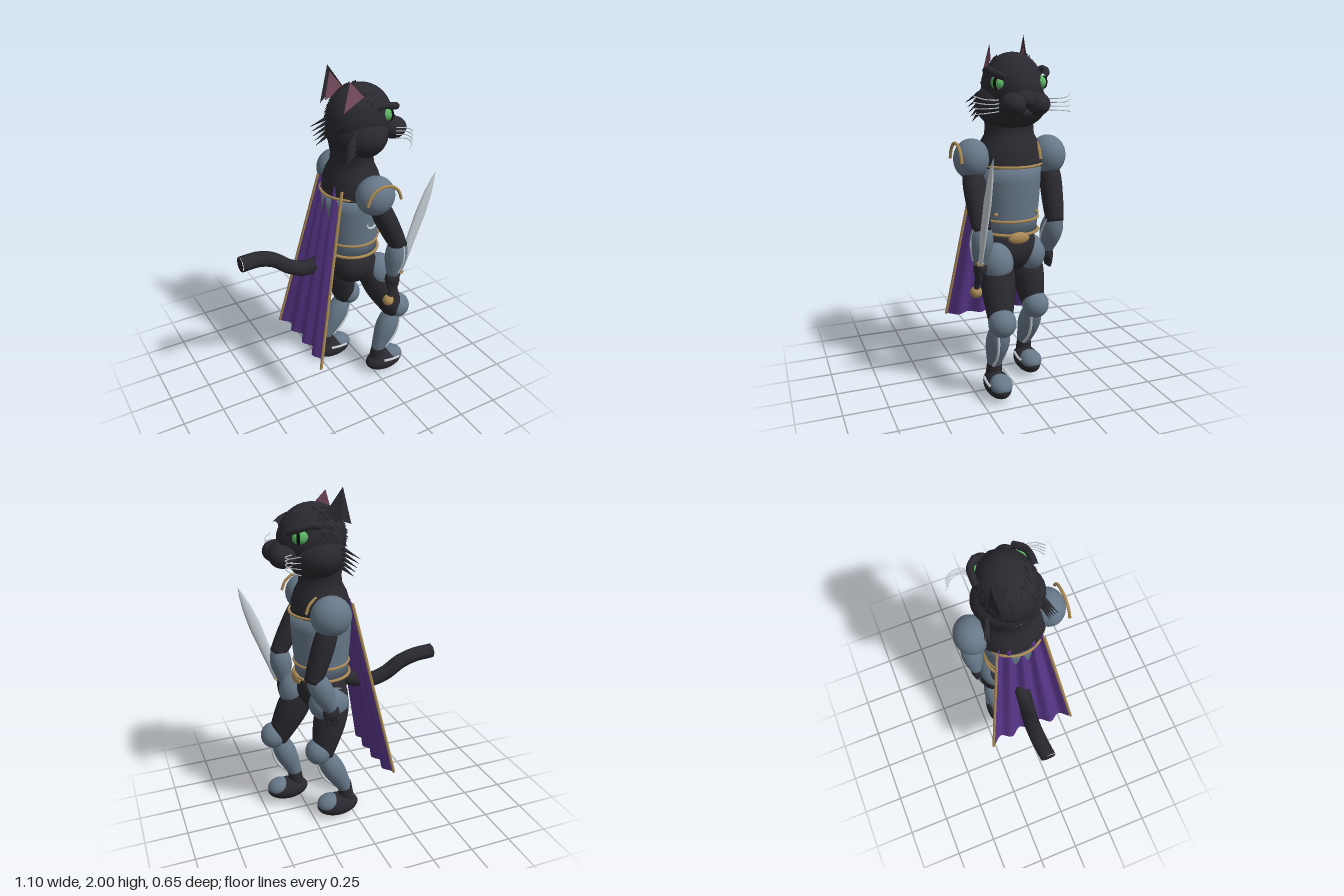
import * as THREE from 'three';
import { mergeGeometries } from 'three/addons/utils/BufferGeometryUtils.js';

const V = (x, y, z) => new THREE.Vector3(x, y, z);
const mat = (name, color, side = THREE.FrontSide) => {
  const m = new THREE.MeshStandardMaterial({ color, side });
  m.name = name;
  return m;
};

export function createModel() {
  const fur = mat('black fur', 0x29292f), steel = mat('slate armour', 0x677889), gold = mat('gold trim', 0xaa8a55);
  const silver = mat('silver', 0xc4ccd2), green = mat('green eye', 0x5cb565), pupilMat = mat('pupil black', 0x0c0c0e);
  const purple = mat('purple cloth', 0x573587, THREE.DoubleSide);
  const pink = mat('inner ear pink', 0x764c5c, THREE.DoubleSide);
  const earMat = mat('ear black', 0x29292f, THREE.DoubleSide);
  const root = new THREE.Group();

  const add = (name, geo, material, parent = root) => {
    const m = new THREE.Mesh(geo, material);
    m.name = name;
    parent.add(m);
    return m;
  };
  const ball = (name, material, p, r, rotZ = 0, rotY = 0) => {
    const m = add(name, new THREE.SphereGeometry(1, 32, 22), material);
    m.position.set(...p);
    m.scale.set(...r);
    m.rotation.set(0, rotY, rotZ);
  };
  const tube = (name, material, pts, r, closed = false) =>
    add(name, new THREE.TubeGeometry(new THREE.CatmullRomCurve3(pts.map(p => V(...p)), closed), 40, r, 8, closed), material);
  // Round limb between two points; radii are spread evenly along it
  const limb = (name, material, a, b, radii) => {
    const A = V(...a), d = V(...b).sub(A), len = d.length(), n = radii.length - 1;
    const curve = new THREE.SplineCurve(radii.map((r, i) => new THREE.Vector2(r, len * i / n)));
    const prof = [new THREE.Vector2(0, 0), ...curve.getPoints(14), new THREE.Vector2(0, len)];
    const m = add(name, new THREE.LatheGeometry(prof, 24), material);
    m.position.copy(A);
    m.quaternion.setFromUnitVectors(V(0, 1, 0), d.normalize());
  };
  // Upright oval section from [radius, height] pairs
  const lathe = (name, material, prof, zScale, parent = root) => {
    const m = add(name, new THREE.LatheGeometry(prof.map(p => new THREE.Vector2(...p)), 40), material, parent);
    m.scale.z = zScale;
    return m;
  };
  const ring = (name, y, rx, rz, r) => {
    const pts = [];
    for (let i = 0; i < 16; i++) pts.push([0.14 + rx * Math.cos(i * Math.PI / 8), y, rz * Math.sin(i * Math.PI / 8)]);
    tube(name, gold, pts, r, true);
  };

  // Torso, armour and belt
  ball('pelvis', fur, [0.14, 0.83, 0], [0.145, 0.145, 0.16]);
  lathe('breastplate', steel, [[0, 0.92], [0.153, 0.92], [0.156, 1], [0.165, 1.1], [0.172, 1.22], [0.173, 1.31], [0, 1.32]], 1.04)
    .position.x = 0.14;
  lathe('chestAndNeck', fur, [[0.168, 1.3], [0.163, 1.36], [0.145, 1.42], [0.12, 1.47], [0.116, 1.52], [0.13, 1.6]], 1.17)
    .position.x = 0.14;
  ring('collarTrim', 1.31, 0.178, 0.181, 0.008);
  ring('waistTrim', 1.005, 0.158, 0.165, 0.008);
  ring('belt', 0.93, 0.163, 0.165, 0.009);
  ball('buckle', gold, [0.295, 0.912, 0], [0.022, 0.034, 0.062]);
  tube('chestCrescent', silver, [[0.14, 1.145, 0.176], [0.155, 1.118, 0.174], [0.19, 1.11, 0.168], [0.23, 1.13, 0.152]], 0.007);

  // Tail
  const tail = tube('tail', fur, [[0.03, 0.88, 0], [-0.07, 0.845, -0.02], [-0.16, 0.832, -0.03], [-0.25, 0.865, -0.045],
    [-0.34, 0.93, -0.058], [-0.43, 0.96, -0.06], [-0.55, 0.965, -0.05]], 0.046);
  tail.geometry = mergeGeometries([tail.geometry, new THREE.CircleGeometry(0.046, 8).rotateY(-Math.PI / 2).translate(-0.55, 0.965, -0.05)]);

  // Folded cape, spreading toward the hem
  const capePoint = (u, v) => [
    0.008 - 0.186 * v - 0.02 * (0.75 + 0.25 * v) * Math.cos(u * Math.PI * 4) + 0.02 * (u * u - 0.6) * (1 - v) - 0.018 * u * u * v,
    1.37 - 1.06 * v, u * (0.135 + 0.145 * v)];
  const cape = new THREE.PlaneGeometry(2, 1, 64, 14), cp = cape.attributes.position;
  for (let i = 0; i < cp.count; i++) cp.setXYZ(i, ...capePoint(cp.getX(i), 0.5 - cp.getY(i)));
  cape.computeVertexNormals();
  add('cape', cape, purple);

  // Paired limbs and armour; the left leg strides ahead, the right arm hangs back
  for (const s of [1, -1]) {
    const left = s > 0, side = left ? 'left' : 'right', z = 0.14 * s, a = 0.228 * s;
    const k = left ? 0.41 : 0.215, f = left ? 0.33 : 0.095;
    tube(side + 'CapeTrim', gold, [0, 0.5, 1].map(v => capePoint(s, v)), 0.009);

    limb(side + 'Thigh', fur, [left ? 0.19 : 0.08, 0.86, 0.1 * s], [k - 0.025, 0.45, z], [0.06, 0.092, 0.096, 0.082, 0.062]);
    ball(side + 'ThighPlate', steel, [left ? 0.268 : 0.14, 0.775, 0.122 * s], [left ? 0.095 : 0.12, 0.112, 0.094], 0.2);
    ball(side + 'KneeGuard', steel, [k, 0.475, z], [0.077, 0.08, 0.078]);
    limb(side + 'Greave', steel, [k - 0.03, 0.45, z], [f - 0.055, 0.175, z], [0.045, 0.064, 0.066, 0.054, 0.04]);
    limb(side + 'Ankle', fur, [f - 0.045, 0.22, z], [f - 0.06, 0.08, z], [0.04, 0.045, 0.05]);
    // Ridge follows the front of the greave
    const ridge = [0.042, 0.07, 0.07, 0.042].map((o, i) => {
      const t = 0.1 + i * 0.27;
      return [k - 0.03 + (f - k - 0.025) * t + o, 0.45 - 0.275 * t - o * 0.35, z + 0.022];
    });
    tube(side + 'GreaveRidge', silver, ridge, 0.008);
    ball(side + 'Foot', fur, [f, 0.073, z], [0.13, 0.07, 0.073]);
    ball(side + 'ToeCap', steel, [f + 0.06, 0.098, z], [0.07, 0.05, 0.064], -0.25);
    tube(side + 'FootTrim', silver, [[f - 0.04, 0.108, z + 0.066], [f + 0.02, 0.103, z + 0.07], [f + 0.075, 0.1, z + 0.066]], 0.008);

    ball(side + 'Pauldron', steel, [0.16, 1.345, 0.225 * s], [0.113, 0.112, 0.1]);
    const gz = 0.225 * s + 0.09;
    tube(side + 'PauldronTrim', gold, [[0.055, 1.34, gz], [0.075, 1.39, gz], [0.115, 1.425, gz], [0.16, 1.435, gz],
      [0.21, 1.425, gz], [0.25, 1.39, gz], [0.27, 1.34, gz]], 0.009);
    const elbow = left ? 0.335 : 0.27, hand = left ? 0.3 : 0.165;
    limb(side + 'UpperArm', fur, [0.17, 1.3, 0.23 * s], [elbow, 0.98, a], [0.05, 0.062, 0.062, 0.058, 0.05]);
    limb(side + 'Bracer', steel, [elbow, 1.03, a], [hand, 0.79, a], [0.035, 0.06, 0.065, 0.054, 0.036]);
    tube(side + 'BracerRidge', silver, [[elbow, 1, a + 0.046], [(elbow + hand) / 2 + 0.015, 0.92, a + 0.063],
      [hand + 0.01, 0.82, a + 0.045]], 0.006);
    ball(side + 'Hand', fur, [hand, 0.765, a], [0.048, 0.055, 0.036]);
    for (let i = 0; i < 4; i++)
      limb(side + 'Finger', fur, [hand - 0.028 + i * 0.02, 0.76, a + 0.015 * s], [hand - 0.025 + i * 0.016, 0.69, a + 0.008 * s],
        [0.011, 0.013, 0.01]);
    ball(side + 'Rivet', gold, [0.257, 1.045, 0.12 * s], [0.012, 0.012, 0.012]);

    // Face
    ball(side + 'Muzzle', fur, [0.365, 1.65, 0.066 * s], [0.078, 0.062, 0.07]);
    ball(side + 'Eye', green, [0.28, 1.757, 0.118 * s], [0.05, 0.038, 0.034], -0.15, 0.1 * s);
    ball(side + 'Pupil', pupilMat, [0.303, 1.757, 0.136 * s], [0.011, 0.034, 0.016]);
    tube(side + 'Brow', fur, [[0.19, 1.815, 0.152 * s], [0.24, 1.822, 0.153 * s], [0.3, 1.808, 0.145 * s], [0.355, 1.785, 0.1 * s]], 0.02);
    for (let i = 0; i < 4; i++) {
      const y = 1.615 + i * 0.02;
      tube(side + 'Whisker', silver, [[0.34, y, 0.135 * s], [0.385, y + 0.002, 0.17 * s],
        [0.38, y + 0.004 * (i - 1), 0.23 * s], [0.335, y + 0.012 * (i - 1), 0.275 * s]], 0.0028);
    }
    for (let i = 0; i < 5; i++) {
      const y = 1.67 - i * 0.026;
      limb(side + 'CheekTuft', fur, [0.07, y + 0.02, 0.15 * s], [-0.015 + 0.005 * i, y - 0.035, (0.2 - 0.008 * i) * s], [0.012, 0.006, 0.001]);
    }
  }

  // Head
  ball('skull', fur, [0.182, 1.725, 0], [0.19, 0.187, 0.165]);
  ball('face', fur, [0.26, 1.72, 0], [0.118, 0.13, 0.128]);
  ball('cheeks', fur, [0.17, 1.64, 0], [0.165, 0.145, 0.2]);
  ball('noseBridge', fur, [0.34, 1.685, 0], [0.09, 0.05, 0.06], -0.3);
  ball('chin', fur, [0.345, 1.605, 0], [0.06, 0.035, 0.055]);

  // Ears: thin sheets
  const sheet = (name, material, ...tris) => {
    const g = new THREE.BufferGeometry();
    g.setAttribute('position', new THREE.Float32BufferAttribute(tris.flat(2), 3));
    g.computeVertexNormals();
    add(name, g, material);
  };
  sheet('leftEarInner', pink, [[0.02, 1.8, 0.112], [0.145, 1.87, 0.108], [0.07, 1.955, 0.088]]);
  sheet('rightEarOuter', earMat, [[-0.005, 1.8, -0.1], [0.05, 2, -0.118], [0.07, 1.83, -0.14]],
    [[0.07, 1.83, -0.14], [0.05, 2, -0.118], [0.145, 1.86, -0.095]]);
  sheet('rightEarInner', pink, [[0.025, 1.81, -0.1], [0.14, 1.86, -0.093], [0.06, 1.965, -0.112]]);

  // Short fur on the back and sides of the head
  let seed = 7;
  const rand = () => (seed = (seed * 16807) % 2147483647) / 2147483647;
  const hairs = [];
  for (let i = 0; i < 260; i++) {
    const th = Math.PI * (0.45 + 1.1 * rand()), h = 1.5 * rand() - 0.6, c = Math.sqrt(1 - h * h);
    const n = V(Math.cos(th) * c, h, Math.sin(th) * c);
    const dir = n.clone().multiplyScalar(0.25).add(V(-0.6, -0.7, 0)).normalize();
    hairs.push(new THREE.ConeGeometry(0.004, 0.03, 4)
      .applyQuaternion(new THREE.Quaternion().setFromUnitVectors(V(0, 1, 0), dir))
      .translate(0.182 + n.x * 0.19, 1.725 + n.y * 0.188, n.z * 0.166));
  }
  add('headFur', mergeGeometries(hairs), fur);

  // Sword in the left hand
  const sword = new THREE.Group();
  sword.name = 'sword';
  sword.position.set(0.27, 0.62, 0.242);
  sword.rotation.z = -Math.atan2(0.28, 0.79);
  root.add(sword);
  lathe('blade', silver, [[0, 0.2], [0.026, 0.2], [0.031, 0.4], [0.035, 0.58], [0.027, 0.7], [0.013, 0.79], [0, 0.84]], 0.5, sword);
  add('grip', new THREE.CylinderGeometry(0.016, 0.016, 0.2, 14).translate(0, 0.1, 0), fur, sword);
  add('pommel', new THREE.SphereGeometry(0.034, 20, 14), gold, sword);
  add('crossguard', new THREE.BoxGeometry(0.04, 0.016, 0.036).translate(0, 0.2, 0), gold, sword);
  return root;
}
